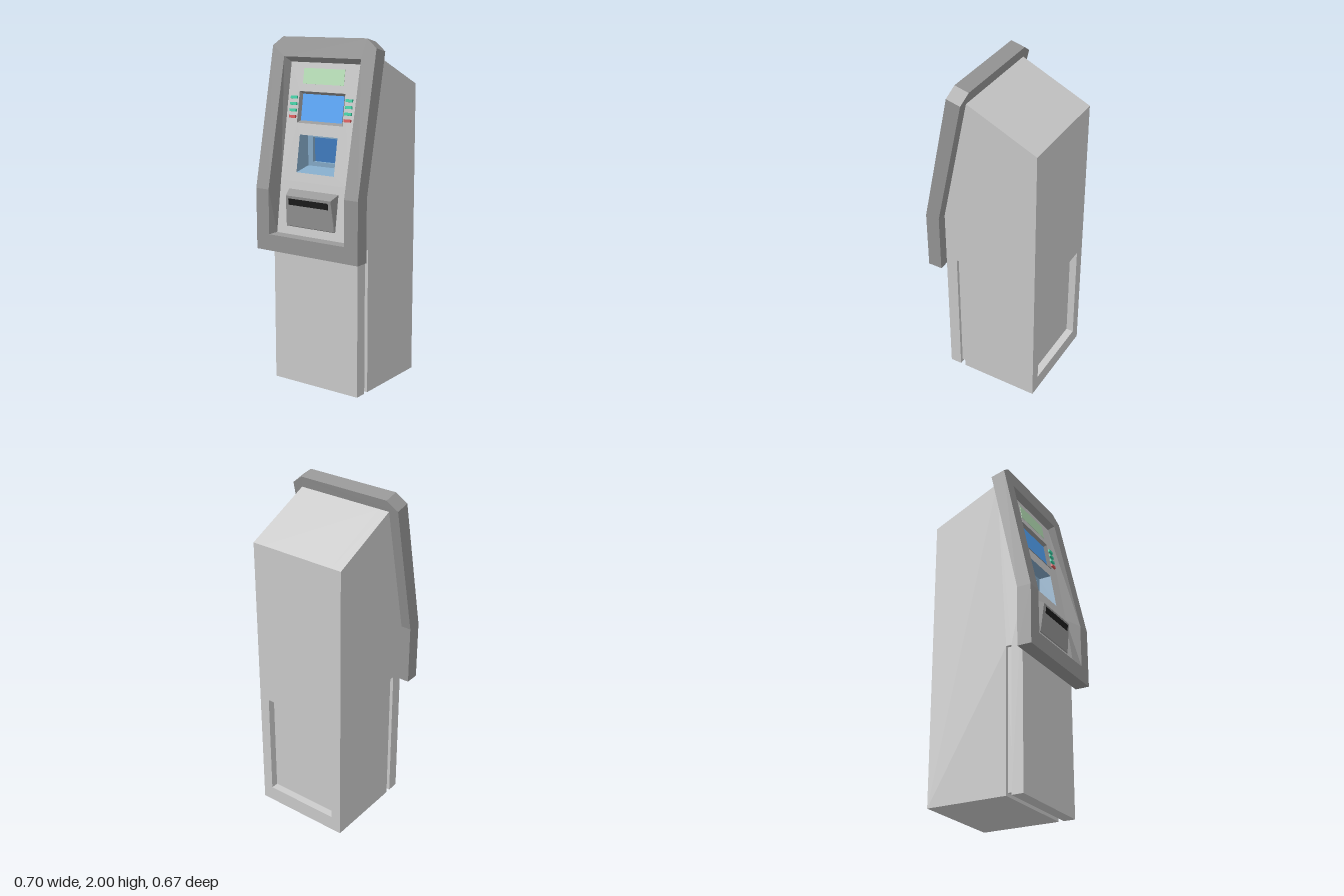
import * as THREE from 'three';

const mat = (color) => new THREE.MeshStandardMaterial({ color, side: THREE.DoubleSide, flatShading: true });

// z of the sloped control panel, the frame front and the cabinet front at height y
const panelZ = (y) => (y > 1.2 ? 0.254 - 0.165 * (y - 1.2) : 0.254 + 0.137 * (1.2 - y));
const frameZ = (y) => 0.335 - 0.2118 * Math.max(0, y - 1.15);
const bodyZ = (y) => 0.25 - 0.2143 * Math.max(0, y - 1.14);

// rectangle loop, counter-clockwise from the front; z is a function of y
const rect = (w, y0, y1, z) => [[-w, y0, z(y0)], [w, y0, z(y0)], [w, y1, z(y1)], [-w, y1, z(y1)]];

// flat-shaded sheet from successive loops, optionally closed by a cap on the last
function loft(loops, cap = false) {
  const pos = [];
  const tri = (a, b, c) => pos.push(...a, ...b, ...c);
  for (let k = 0; k + 1 < loops.length; k++) {
    const a = loops[k], b = loops[k + 1], n = a.length;
    for (let i = 0; i < n; i++) {
      const j = (i + 1) % n;
      tri(a[i], a[j], b[j]);
      tri(a[i], b[j], b[i]);
    }
  }
  const last = loops[loops.length - 1];
  if (cap) for (let i = 1; i + 1 < last.length; i++) tri(last[0], last[i], last[i + 1]);
  const g = new THREE.BufferGeometry();
  g.setAttribute('position', new THREE.Float32BufferAttribute(pos, 3));
  g.computeVertexNormals();
  return g;
}

// move every vertex by a rule
function bend(g, rule) {
  const p = g.attributes.position;
  for (let i = 0; i < p.count; i++) p.setXYZ(i, ...rule(p.getX(i), p.getY(i), p.getZ(i)));
  g.computeVertexNormals();
  return g;
}

const shapeOf = (pts) => new THREE.Shape(pts.map(([x, y]) => new THREE.Vector2(x, y)));

// side profile of the cabinet extruded across x0..x1
function cabinetSlice(x0, x1, grooveHeight, core) {
  const pts = [[0.25, 0], [0.25, 1.14]];
  if (core) pts.push([bodyZ(1.2), 1.2], [0.08, 1.2], [0.08, 1.6], [bodyZ(1.6), 1.6]);
  pts.push([bodyZ(1.915), 1.915], [-0.335, 1.73]);
  if (core) pts.push([-0.335, 0.74], [-0.29, 0.74], [-0.29, 0.093], [-0.335, 0.093]);
  pts.push([-0.335, 0], [0.148, 0], [0.148, grooveHeight], [0.18, grooveHeight], [0.18, 0]);
  const g = new THREE.ExtrudeGeometry(shapeOf(pts.map(([z, y]) => [-z, y])), { depth: x1 - x0, bevelEnabled: false });
  return g.rotateY(Math.PI / 2).translate(x0, 0, 0);
}

export function createModel() {
  const model = new THREE.Group();
  const grey = mat(0xcccccc), dark = mat(0x969696), black = mat(0x1c1c1c);
  const blue = mat(0x55a6fa), paleBlue = mat(0x84aac8), padBlue = mat(0x3f7cc0);
  const green = mat(0x38d0a4), red = mat(0xd85555), labelGreen = mat(0xb8e2b8);
  const add = (name, geometry, material, parent = model) => {
    const m = new THREE.Mesh(geometry, material);
    m.name = name;
    parent.add(m);
    return m;
  };

  // cabinet: core with service recess at the back, cheeks, and grooved outer skins
  const cabinet = new THREE.Group();
  cabinet.name = 'cabinet';
  model.add(cabinet);
  add('cabinetCore', cabinetSlice(-0.23, 0.23, 0.02, true), grey, cabinet);
  for (const s of [-1, 1]) {
    const slab = (a, b, h) => cabinetSlice(Math.min(s * a, s * b), Math.max(s * a, s * b), h, false);
    add('cabinetCheek', slab(0.23, 0.273, 0.02), grey, cabinet);
    add('cabinetSkin', slab(0.273, 0.293, 0.84), grey, cabinet);
  }

  // front frame: a lower and an upper U, bent to follow the sloped front
  const frame = new THREE.Group();
  frame.name = 'frontFrame';
  model.add(frame);
  const lowerU = [[-0.352, 0.795], [0.352, 0.795], [0.352, 1.15], [0.262, 1.15],
    [0.262, 0.89], [-0.262, 0.89], [-0.262, 1.15], [-0.352, 1.15]];
  const upperU = [[0.352, 1.15], [0.352, 1.95], [0.285, 2], [-0.285, 2], [-0.352, 1.95],
    [-0.352, 1.15], [-0.262, 1.15], [-0.262, 1.89], [0.262, 1.89], [0.262, 1.15]];
  for (const [name, pts] of [['frameLower', lowerU], ['frameUpper', upperU]]) {
    const g = new THREE.ExtrudeGeometry(shapeOf(pts), { depth: 1, bevelEnabled: false });
    add(name, bend(g, (x, y, t) => {
      const drop = 0.02 * Math.min(1, Math.max(0, (y - 1.15) / 0.8));
      return [x, y - (1 - t) * drop, frameZ(y) - 0.085 * (1 - t)];
    }), dark, frame);
  }

  // slanted reveal between frame and panel
  const reveal = (w, ys, z) => [...ys.map((y) => [w, y, z(y)]), ...ys.slice().reverse().map((y) => [-w, y, z(y)])];
  add('frameReveal', loft([reveal(0.262, [0.89, 1.15, 1.89], frameZ), reveal(0.235, [0.9, 1.2, 1.86], panelZ)]), dark, frame);

  // control panel with openings for screen and keypad
  const plate = shapeOf([[-0.235, 1.2], [0.235, 1.2], [0.235, 1.86], [-0.235, 1.86]]);
  for (const [w, y0, y1] of [[0.155, 1.525, 1.7], [0.13, 1.25, 1.46]]) {
    plate.holes.push(new THREE.Path([[-w, y0], [-w, y1], [w, y1], [w, y0]].map(([x, y]) => new THREE.Vector2(x, y))));
  }
  add('upperPanel', bend(new THREE.ShapeGeometry(plate), (x, y) => [x, y, panelZ(y)]), grey);
  add('lowerPanel', loft([rect(0.235, 0.9, 1.2, panelZ)], true), grey);

  // screen in its bezel
  const screenZ = (y) => panelZ(y) - 0.014;
  add('screenBezel', loft([
    rect(0.155, 1.525, 1.7, panelZ),
    rect(0.155, 1.525, 1.7, (y) => panelZ(y) + 0.005),
    rect(0.143, 1.537, 1.685, screenZ),
  ]), dark);
  add('screen', loft([rect(0.143, 1.537, 1.685, screenZ)], true), blue);

  // keypad alcove with an inset pad
  add('keypadAlcove', loft([
    rect(0.13, 1.25, 1.46, panelZ),
    rect(0.13, 1.275, 1.46, () => 0.135),
    rect(0.095, 1.3, 1.44, () => 0.135),
    rect(0.095, 1.3, 1.44, () => 0.115),
  ]), paleBlue);
  add('keypad', loft([rect(0.095, 1.3, 1.44, () => 0.115)], true), padBlue);

  // plate lying on the sloped panel
  const tilt = -Math.atan(0.165);
  const onPanel = (name, w, h, d, x, y, material) => {
    const m = add(name, new THREE.BoxGeometry(w, h, d), material);
    m.position.set(x, y, panelZ(y) + d / 2 - 0.001);
    m.rotation.x = tilt;
  };
  onPanel('signPlate', 0.28, 0.088, 0.003, 0, 1.785, labelGreen);

  // side keys: three green and one red on each side
  for (const s of [-1, 1]) {
    for (let i = 0; i < 4; i++) {
      onPanel('sideKey', 0.044, 0.016, 0.012, s * 0.189, 1.665 - i * 0.036, i < 3 ? green : red);
    }
  }

  // dispenser housing with its slot
  const top = 1.125, bottom = 0.95;
  const faceZ = (y) => 0.294 + (0.019 * (y - bottom)) / (top - bottom);
  add('dispenserHousing', loft([
    [[-0.17, 0.945, 0.288], [0.17, 0.945, 0.288], [0.172, 1.155, 0.26], [-0.172, 1.155, 0.26]],
    [[-0.165, bottom, faceZ(bottom)], [0.165, bottom, faceZ(bottom)], [0.155, top, faceZ(top)], [-0.155, top, faceZ(top)]],
  ], true), dark);
  const slot = add('dispenserSlot', new THREE.BoxGeometry(0.272, 0.036, 0.008), black);
  slot.position.set(0, 1.092, faceZ(1.092));
  slot.rotation.x = Math.atan(0.019 / (top - bottom));

  return model;
}
